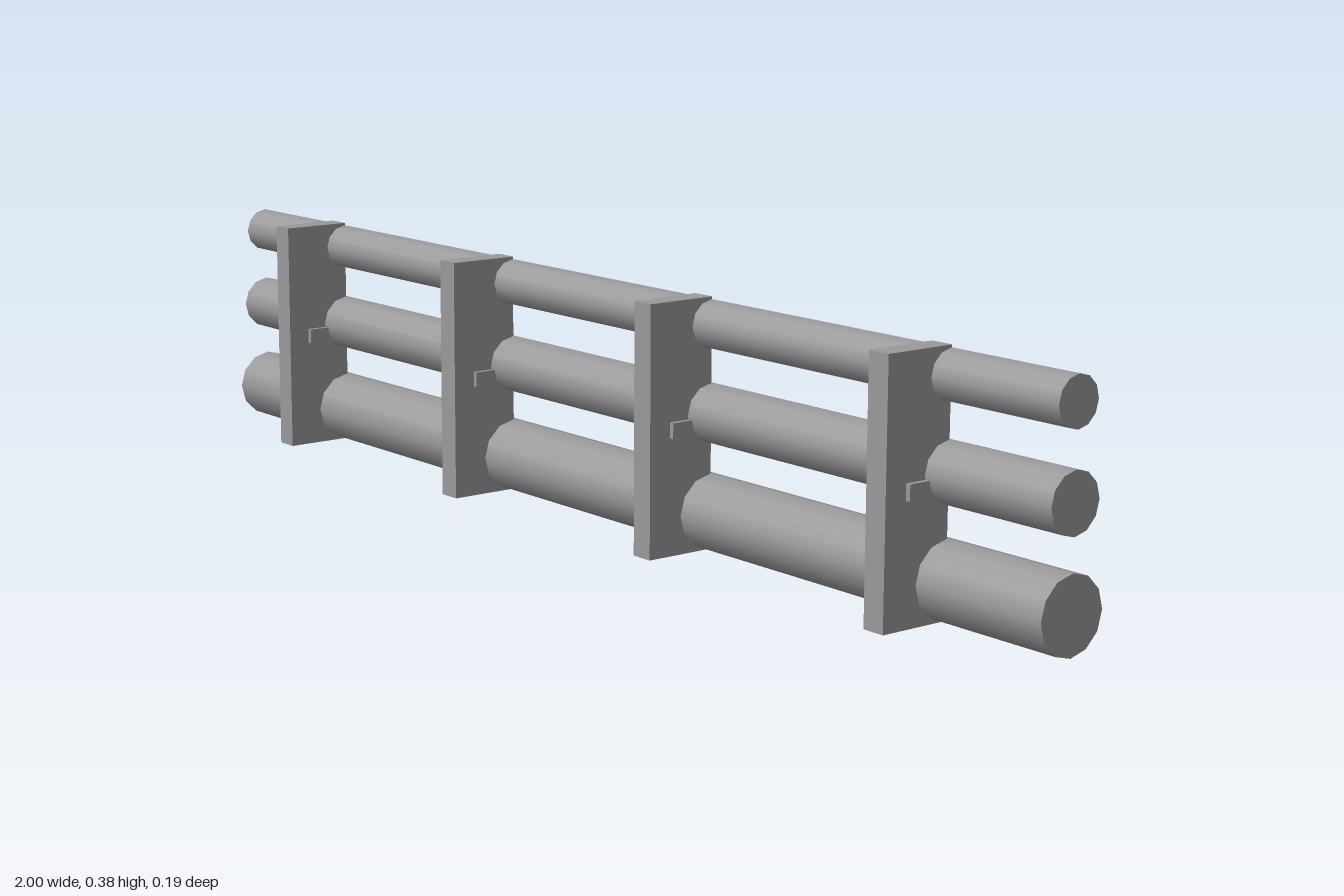
import * as THREE from 'three';

export function createModel() {
  const model = new THREE.Group();
  model.name = 'railBarrier';
  const steel = new THREE.MeshStandardMaterial({ name: 'grey steel', color: 0x9a999b });
  const axisZ = -0.018;

  const add = (name, geometry, x, y, z) => {
    const mesh = new THREE.Mesh(geometry, steel);
    mesh.name = name;
    mesh.position.set(x, y, z);
    model.add(mesh);
  };

  // Three full-length rails, thinner toward the top
  const rails = [
    ['bottomRail', 0.0575, 0.0585],
    ['middleRail', 0.045, 0.209],
    ['topRail', 0.037, 0.343],
  ];
  for (const [name, radius, y] of rails) {
    const rail = new THREE.CylinderGeometry(radius, radius, 2, 12).rotateZ(Math.PI / 2);
    add(name, rail, 0, y, axisZ);
  }

  // Flat posts in front of the rails, each with a cross block through the middle rail
  const post = new THREE.BoxGeometry(0.038, 0.384, 0.116);
  const block = new THREE.BoxGeometry(0.054, 0.024, 0.158);
  for (const x of [-0.75, -0.25, 0.25, 0.75]) {
    add('post', post, x, 0.192, 0.04);
    add('crossBlock', block, x, 0.192, axisZ);
  }
  return model;
}
